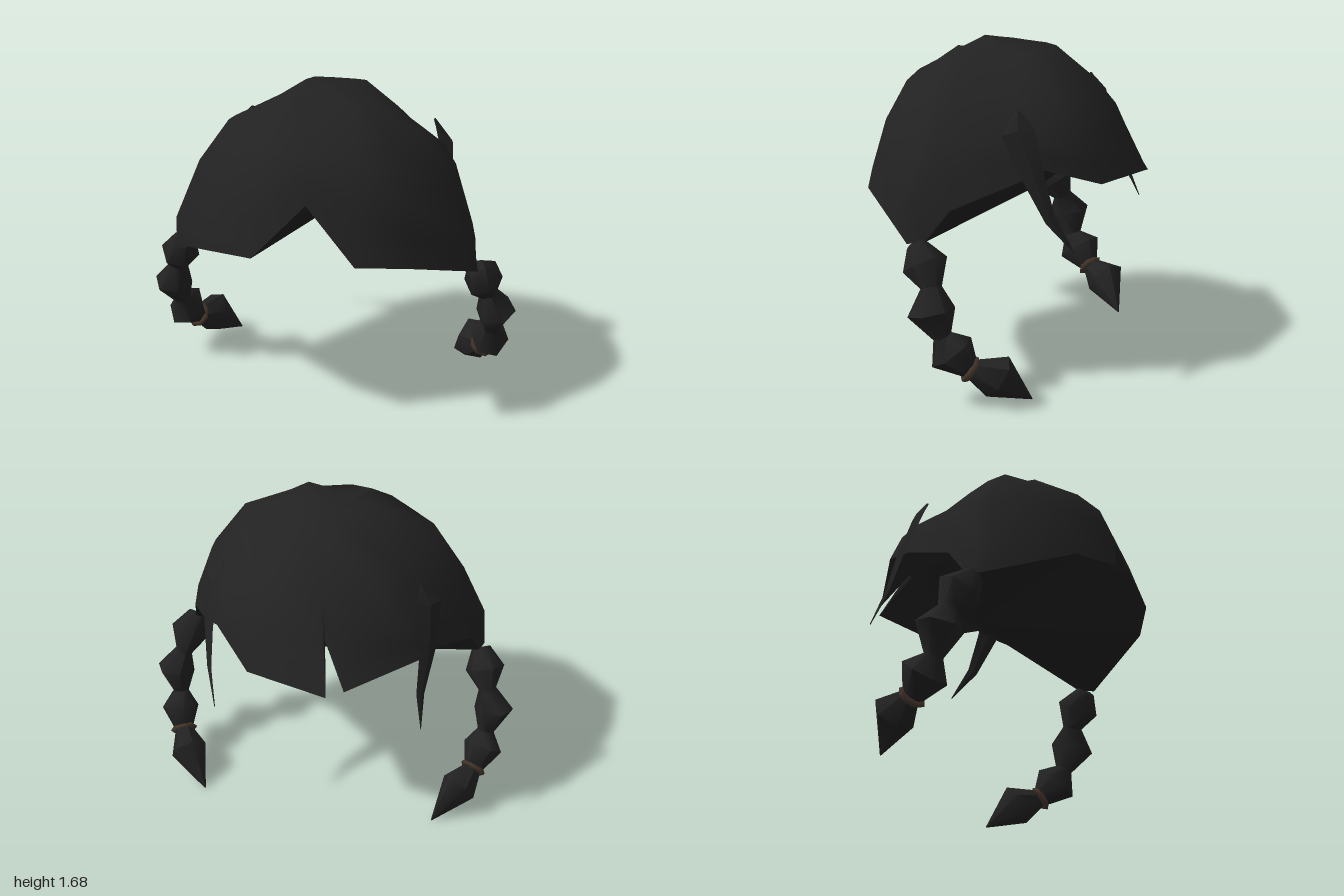
import * as THREE from 'three';
import { toCreasedNormals } from 'three/addons/utils/BufferGeometryUtils.js';

const hair = new THREE.MeshStandardMaterial({ color: 0x222222 });
hair.name = 'black hair';
const band = new THREE.MeshStandardMaterial({ color: 0x45362c });
band.name = 'brown band';

function meshFrom(points, index, crease, material, name) {
  const g = new THREE.BufferGeometry();
  g.setAttribute('position', new THREE.Float32BufferAttribute(points.flat(), 3));
  g.setIndex(index);
  const mesh = new THREE.Mesh(toCreasedNormals(g, crease), material);
  mesh.name = name;
  return mesh;
}

// Rings of n sides around a path; each station is [x, y, z, width radius, depth radius]
function loft(stations, n, hint, crease, material, name) {
  const points = [], index = [];
  const at = (i) => new THREE.Vector3(...stations[Math.min(Math.max(i, 0), stations.length - 1)].slice(0, 3));
  stations.forEach((s, i) => {
    const t = at(i + 1).sub(at(i - 1)).normalize();
    const u = hint.clone().addScaledVector(t, -hint.dot(t)).normalize();
    const v = t.clone().cross(u);
    for (let k = 0; k < n; k++) {
      const a = (k / n) * Math.PI * 2;
      points.push(at(i).addScaledVector(u, Math.cos(a) * s[3]).addScaledVector(v, Math.sin(a) * s[4]).toArray());
      if (i === stations.length - 1) continue;
      const p = i * n + k, q = i * n + (k + 1) % n;
      index.push(p, q, q + n, p, q + n, p + n);
    }
  });
  const last = (stations.length - 1) * n;
  for (let k = 1; k < n - 1; k++) index.push(0, k + 1, k, last, last + k, last + k + 1);
  return meshFrom(points, index, crease, material, name);
}

// Cap of hair: columns run from the crown to the rim
function makeCap() {
  const parting = [[0, 1.65, .23], [0, 1.5, .55], [0, 1.38, .595], [0, 1.27, .63]];
  const side = [
    [[.165, 1.68, .235], [.23, 1.485, .505], [.26, 1.27, .62], [.26, 1, .71]],
    [[.17, 1.678, .21], [.37, 1.5, .36], [.48, 1.27, .48], [.52, .965, .59]],
    [[.175, 1.675, .14], [.5, 1.53, .2], [.67, 1.29, .19], [.79, .98, .26], [.81, .8, .21]],
    [[.175, 1.675, .08], [.49, 1.52, .1], [.67, 1.29, .1], [.785, .98, .18], [.79, .815, .12]],
    [[.175, 1.67, 0], [.46, 1.49, -.02], [.645, 1.29, -.04], [.75, .98, 0]],
    [[.17, 1.665, -.12], [.38, 1.465, -.195], [.55, 1.31, -.27], [.6, 1.12, -.3]],
  ];
  // Back locks with a split a little to one side
  const back = [
    [[.14, 1.66, -.19], [.29, 1.47, -.35], [.45, 1.3, -.4], [.51, 1.17, -.4]],
    [[.08, 1.66, -.2], [.16, 1.47, -.45], [.26, 1.26, -.55], [.3, 1.07, -.62]],
    [[-.02, 1.66, -.2], [-.04, 1.47, -.48], [-.08, 1.29, -.58], [-.12, 1.05, -.72]],
    [[-.04, 1.66, -.2], [-.06, 1.47, -.47], [-.075, 1.36, -.53], [-.08, 1.29, -.56]],
    [[-.06, 1.66, -.2], [-.1, 1.47, -.46], [-.16, 1.28, -.57], [-.2, 1.06, -.67]],
    [[-.14, 1.66, -.19], [-.3, 1.47, -.35], [-.47, 1.3, -.41], [-.54, 1.14, -.44]],
  ];
  const mirrored = side.map((c) => c.map(([x, y, z]) => [-x, y, z])).reverse();
  // Every column gets five rows, plus a lining that leaves the back locks hanging free
  const columns = [parting, ...side, ...back, ...mirrored].map((c) => {
    const [x, y, z] = c[2], rim = c[c.length - 1];
    const low = c.length > 4 ? c[3] : rim.map((value, k) => (value + c[2][k]) / 2);
    const lining = back.includes(c) ? [x * .94, y - .02, z * .94] : rim;
    return [c[0], c[1], c[2], low, rim, lining];
  });
  const points = columns.flat(), n = columns.length, index = [];
  const crown = points.push([0, 1.655, 0]) - 1;
  const inner = points.push([0, .95, -.19]) - 1;
  for (let i = 0; i < n; i++) {
    const a = i * 6, b = ((i + 1) % n) * 6;
    index.push(crown, a, b, inner, b + 5, a + 5);
    for (let r = 0; r < 5; r++) index.push(a + r, a + r + 1, b + r + 1, a + r, b + r + 1, b + r);
  }
  return meshFrom(points, index, 1.2, hair, 'hairCap');
}

// Beaded braid with a band and a pointed tail
function makeBraid(name) {
  const group = new THREE.Group();
  group.name = name;
  const xAxis = new THREE.Vector3(1, 0, 0);
  group.add(loft([
    [.795, .8, .165, .05, .05], [.83, .715, .1, .105, .12], [.855, .61, .055, .048, .055],
    [.9, .5, .033, .105, .125], [.87, .37, -.01, .045, .05],
    [.865, .29, -.057, .105, .128], [.825, .195, -.14, .05, .05],
  ], 6, xAxis, 1.1, hair, 'braidBeads'));
  group.add(loft([
    [.83, .2, -.135, .045, .045], [.765, .155, -.262, .1, .12], [.64, .005, -.395, .003, .003],
  ], 6, xAxis, 1.1, hair, 'braidTail'));
  const ring = new THREE.Mesh(new THREE.TorusGeometry(.058, .018, 4, 8), band);
  ring.name = 'braidBand';
  ring.position.set(.826, .197, -.14);
  ring.lookAt(.826 - .05, .197 - .075, -.14 - .1);
  group.add(ring);
  return group;
}

// Thin loose strand behind the temple, tapering to a point
function makeStrand(tipX, tipZ, name) {
  return loft([
    [.5, 1.45, -.25, .012, .006], [.55, 1.36, -.275, .085, .015],
    [.565, 1.14, -.365, .055, .014], [.55, .93, -.45, .028, .01], [tipX, .76, tipZ, .002, .002],
  ], 4, new THREE.Vector3(.6, 0, .8), 0.4, hair, name);
}

export function createModel() {
  const model = new THREE.Group();
  model.name = 'braidedHair';
  const rightBraid = makeBraid('rightBraid');
  const rightStrand = makeStrand(.57, -.525, 'rightStrand');
  rightBraid.scale.x = rightStrand.scale.x = -1;
  model.add(makeCap(), makeBraid('leftBraid'), rightBraid, makeStrand(.5, -.56, 'leftStrand'), rightStrand);
  return model;
}
